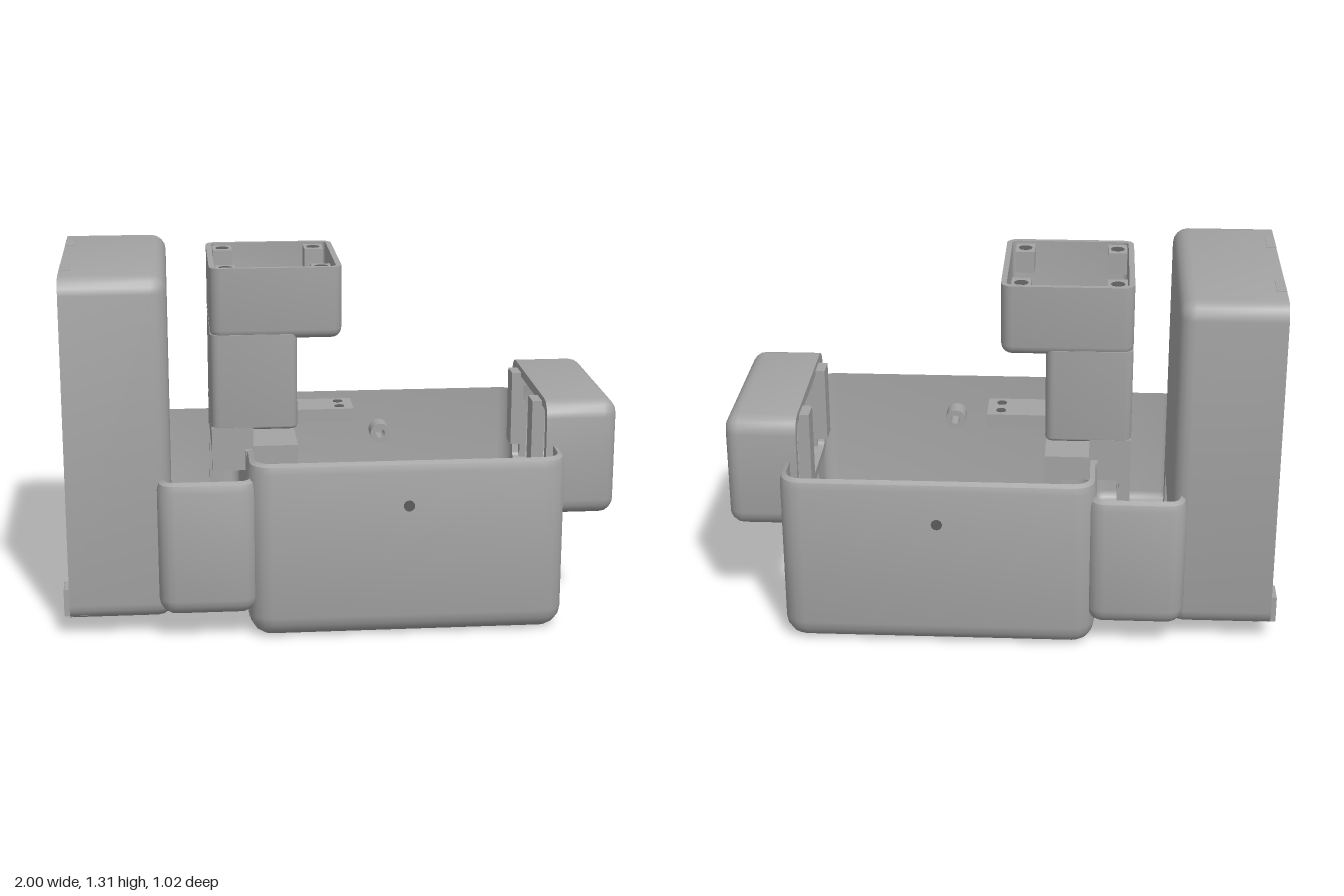
import * as THREE from 'three';
import { toCreasedNormals } from 'three/addons/utils/BufferGeometryUtils.js';

export function createModel() {
  const model = new THREE.Group();
  const grey = new THREE.MeshStandardMaterial({ color: 0xa4a4a4, side: THREE.DoubleSide });
  const dark = new THREE.MeshStandardMaterial({ color: 0x5c5c5c });

  function add(name, geometry, material = grey) {
    const mesh = new THREE.Mesh(geometry, material);
    mesh.name = name;
    model.add(mesh);
    return mesh;
  }

  function box(name, x0, x1, y0, y1, z0, z1) {
    const m = add(name, new THREE.BoxGeometry(x1 - x0, y1 - y0, z1 - z0));
    m.position.set((x0 + x1) / 2, (y0 + y1) / 2, (z0 + z1) / 2);
    return m;
  }

  // Skin over rows of points; the last row joins the first
  function skin(rows, closedRow, capShape) {
    const n = rows[0].length, count = rows.length, index = [];
    for (let i = 0; i < count; i++) {
      const a = i * n, b = ((i + 1) % count) * n;
      for (let j = 0; j < (closedRow ? n : n - 1); j++) {
        const k = (j + 1) % n;
        index.push(a + j, a + k, b + k, a + j, b + k, b + j);
      }
    }
    if (capShape) {
      for (const [p, q, r] of THREE.ShapeUtils.triangulateShape(capShape, [])) {
        index.push(p * n, q * n, r * n, p * n + n - 1, r * n + n - 1, q * n + n - 1);
      }
    }
    const g = new THREE.BufferGeometry();
    g.setAttribute('position', new THREE.Float32BufferAttribute(rows.flat(2), 3));
    g.setIndex(index);
    return toCreasedNormals(g, 0.6);
  }

  const arc = (cx, cy, r, from) => [0, 1, 2, 3, 4].map((k) => {
    const t = from + (k / 4) * Math.PI / 2;
    return [cx + r * Math.cos(t), cy + r * Math.sin(t)];
  });

  const roundedRect = (a0, a1, b0, b1, r) => [
    ...arc(a1 - r, b1 - r, r, 0), ...arc(a0 + r, b1 - r, r, Math.PI / 2),
    ...arc(a0 + r, b0 + r, r, Math.PI), ...arc(a1 - r, b0 + r, r, -Math.PI / 2),
  ];

  // Hollow cover: open at depth c0, rounded face at c1, optional hole in the face
  function shell(name, [a0, a1, b0, b1], c0, c1, r, e, t, hole, place) {
    const s = Math.sign(c1 - c0), rows = [];
    const ring = (i, c) => rows.push(
      roundedRect(a0 + i, a1 - i, b0 + i, b1 - i, Math.max(r - i, 0.004)).map(([a, b]) => place(a, b, c)));
    const holeRing = (c) => rows.push(roundedRect(...hole, 0.02).map(([a, b]) => place(a, b, c)));
    const bend = (inset, back, k, rad) => {
      const q = (k / 4) * Math.PI / 2;
      ring(inset + rad * (1 - Math.cos(q)), c1 - s * (back + rad * (1 - Math.sin(q))));
    };
    ring(0, c0);
    for (let k = 0; k <= 4; k++) bend(0, 0, k, e);
    if (!hole) hole = [(a0 + a1) / 2 - 0.02, (a0 + a1) / 2 + 0.02, (b0 + b1) / 2 - 0.02, (b0 + b1) / 2 + 0.02];
    holeRing(c1);
    holeRing(c1 - s * t);
    for (let k = 4; k >= 0; k--) bend(t, t, k, Math.max(e - t, 0.005));
    ring(t, c0);
    return add(name, skin(rows, true));
  }

  // Wall with curled bottom edge, as [inset, height] points
  function wallProfile(y0, y1, R, t) {
    const outer = arc(R, y0 + R, R, Math.PI).map(([i, y]) => [i, y]);
    const inner = arc(R, y0 + R, R - t, Math.PI).reverse();
    return [[0.025, y1], [0.007, y1 - 0.01], [0, y1 - 0.035], ...outer, ...inner, [t, y1]];
  }

  // Two mirrored side walls running round both corners to a central gap
  function tub(name, x0, x1, y0, y1, w, R, t, gap) {
    const profile = wallProfile(y0, y1, R, t);
    for (const side of [1, -1]) {
      const rows = profile.map(([i, y]) => [
        [x1 - i, gap],
        ...arc(x1 - R, w - R, R - i, 0),
        ...arc(x0 + R, w - R, R - i, Math.PI / 2),
        [x0 + i, gap],
      ].map(([x, z]) => [x, y, side * z]));
      add(name + 'SideWall', skin(rows, false, profile.map((p) => new THREE.Vector2(...p))));
    }
  }

  // Flat panel with rectangular windows, [u0, u1, v0, v1]
  function panel(name, [u0, u1, v0, v1], holes, thickness) {
    const shape = new THREE.Shape(roundedRect(u0, u1, v0, v1, 0.004).map((p) => new THREE.Vector2(...p)));
    for (const h of holes) {
      shape.holes.push(new THREE.Path(roundedRect(...h, 0.015).map((p) => new THREE.Vector2(...p))));
    }
    return add(name, new THREE.ExtrudeGeometry(shape, { depth: thickness, bevelEnabled: false }));
  }

  // Hollow screw boss along y
  function boss(name, r, hole, length) {
    const p = [[hole, 0], [r, 0], [r, length], [hole, length], [hole, 0]].map((q) => new THREE.Vector2(...q));
    return add(name, toCreasedNormals(new THREE.LatheGeometry(p, 20), 0.6));
  }

  const alongX = (a, b, c) => [c, b, a];
  const alongY = (a, b, c) => [a, c, b];

  // Main body
  tub('body', -0.34, 0.79, 0, 0.65, 0.51, 0.08, 0.025, 0.29);
  box('bodyFloor', -0.26, 0.22, 0, 0.025, -0.43, 0.43);
  box('bodyBackSill', -0.335, -0.26, 0.004, 0.12, -0.29, 0.29);
  box('bodyBackPanel', -0.34, -0.315, 0.34, 0.64, -0.29, 0.29);
  for (const s of [1, -1]) {
    const z0 = s > 0 ? 0.285 : -0.43;
    box('bodyFloorStrip', 0.22, 0.79 - 0.08, 0, 0.025, z0, z0 + 0.145);
    const b = boss('bodyBoss', 0.04, 0.018, 0.08);
    b.position.set(0.225, 0.49, s * 0.49);
    b.rotation.x = -s * Math.PI / 2;
    const d = add('screwHole', new THREE.CylinderGeometry(0.02, 0.02, 0.006, 20), dark);
    d.position.set(0.225, 0.49, s * 0.509);
    d.rotation.x = Math.PI / 2;
  }

  // Connecting section between body and rear case
  tub('connector', -0.66, -0.31, 0.095, 0.59, 0.51, 0.06, 0.025, 0.29);
  box('connectorFloor', -0.6, -0.37, 0.095, 0.12, -0.45, 0.45);
  box('connectorBackPanel', -0.655, -0.63, 0.34, 0.59, -0.29, 0.29);

  // Tall rear case, open at the back
  shell('rearCase', [-0.44, 0.44, 0.065, 1.31], -0.98, -0.61, 0.06, 0.055, 0.025,
    [-0.29, 0.29, 0.13, 0.34], alongX);
  for (const s of [1, -1]) {
    const m = panel('rearCaseLug', [-1, -0.91, 0.08, 0.18], [], 0.09);
    m.position.z = s > 0 ? 0.33 : -0.42;
    const hole = add('lugHole', new THREE.CylinderGeometry(0.022, 0.022, 0.006, 16), dark);
    hole.position.set(-0.9985, 0.13, m.position.z + 0.045);
    hole.rotation.z = Math.PI / 2;
    box('rearCaseClip', -0.98, -0.945, 1.285, 1.312, s * 0.235 - 0.06, s * 0.235 + 0.06);
    const b = boss('rearCaseBoss', 0.045, 0.022, 0.1);
    b.position.set(-0.63, 0.38, s * 0.36);
    b.rotation.z = Math.PI / 2;
  }

  // Neck column with windowed base
  shell('neckColumn', [-0.46, -0.15, -0.26, 0.26], 1.06, 0.71, 0.03, 0.012, 0.025, null, alongY);
  box('neckFoot', -0.46, -0.31, 0.64, 0.72, -0.26, 0.26);
  box('neckBaseTop', -0.46, -0.15, 0.62, 0.65, -0.26, 0.26);
  const front = panel('neckBaseFront', [-0.26, 0.26, 0.11, 0.64], [[-0.16, 0.16, 0.2, 0.56]], 0.03);
  front.rotation.y = Math.PI / 2;
  front.position.x = -0.18;
  for (const z of [-0.26, 0.23]) {
    panel('neckBaseSide', [-0.46, -0.15, 0.11, 0.64], [[-0.42, -0.2, 0.2, 0.56]], 0.03).position.z = z;
  }

  // Small bracket with two screw holes
  box('bracket', -0.17, 0.07, 0.68, 0.73, -0.075, 0.075);
  for (const z of [-0.035, 0.035]) {
    add('bracketHole', new THREE.CylinderGeometry(0.018, 0.018, 0.006, 16), dark).position.set(0.02, 0.729, z);
  }

  // Open box on top of the neck, with corner posts
  shell('topBox', [-0.46, 0.01, -0.26, 0.26], 1.3, 1.04, 0.04, 0.035, 0.02,
    [-0.43, -0.18, -0.23, 0.23], alongY);
  for (const x of [-0.4, -0.06]) {
    for (const z of [-0.19, 0.19]) {
      box('topBoxPost', x - 0.035, x + 0.035, 1.21, 1.29, z - 0.05, z + 0.05);
      add('postHole', new THREE.CylinderGeometry(0.025, 0.025, 0.006, 16), dark).position.set(x, 1.288, z);
    }
  }

  // Front visor housing, open at the back with a window in front
  shell('visor', [-0.35, 0.35, 0.38, 0.81], 0.74, 1, 0.06, 0.05, 0.035,
    [-0.265, 0.265, 0.455, 0.72], alongX);
  for (const s of [1, -1]) {
    box('visorClip', 0.705, 0.75, 0.505, 0.79, s * 0.2075 - 0.0425, s * 0.2075 + 0.0425);
    box('visorClipArm', 0.745, 0.8, 0.74, 0.785, s * 0.2075 - 0.0425, s * 0.2075 + 0.0425);
  }

  return model;
}
